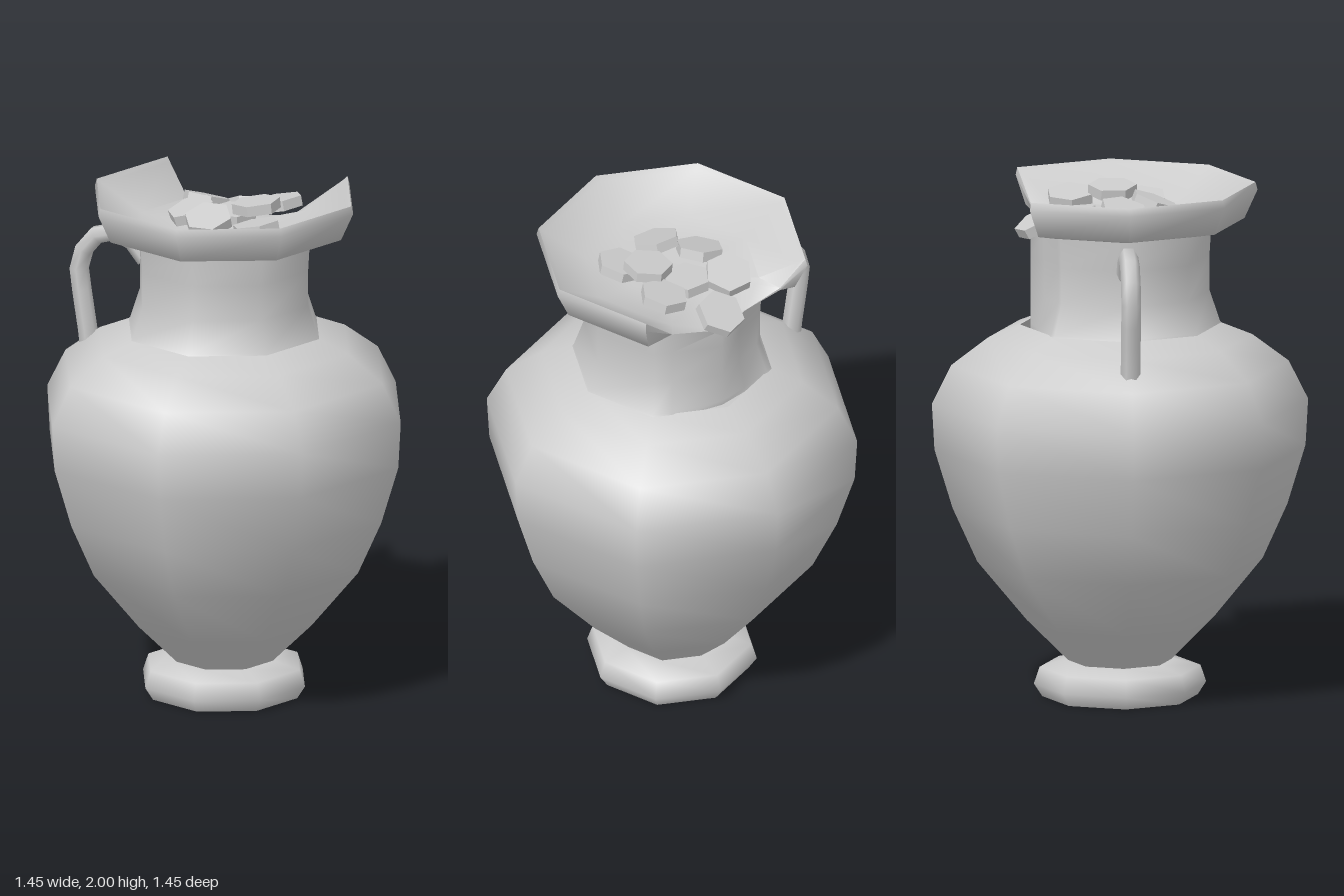
import * as THREE from 'three';
import { toCreasedNormals } from 'three/addons/utils/BufferGeometryUtils.js';

const SIDES = 8;
const material = new THREE.MeshStandardMaterial({ color: 0xcccccc, side: THREE.DoubleSide });
const chipMaterial = new THREE.MeshStandardMaterial({ color: 0xcccccc, flatShading: true });

function add(group, name, geometry, mat = material) {
  const mesh = new THREE.Mesh(geometry, mat);
  mesh.name = name;
  group.add(mesh);
  return mesh;
}

function lathe(profile) {
  return new THREE.LatheGeometry(profile.map(([r, y]) => new THREE.Vector2(r, y)), SIDES);
}

// Neck, lip and inner floor as one skin; broken columns clamp the profile down
function neckGeometry() {
  const profile = [
    [0.4, 1.44], [0.385, 1.46], [0.345, 1.58], [0.345, 1.72], [0.352, 1.835],
    [0.385, 1.84], [0.48, 1.86], [0.53, 1.97], [0.522, 2.0], [0.5, 1.985],
    [0.34, 1.885], [0.18, 1.865], [0, 1.865],
  ];
  // angle in degrees (180 is the back), then highest y and widest radius where broken
  const columns = [
    [0], [45], [90], [135], [146, 1.85, 0.38], [180, 1.8, 0.345],
    [200, 1.83, 0.345], [221, 1.87, 0.43], [225], [270], [315], [360],
  ];
  const positions = [];
  const index = [];
  const n = profile.length;
  columns.forEach(([deg, maxY = 9, maxR = 9], i) => {
    const phi = THREE.MathUtils.degToRad(deg);
    // keep in-between columns on the straight octagon edge
    const off = THREE.MathUtils.degToRad((deg % 45) - 22.5);
    const edge = Math.cos(Math.PI / SIDES) / Math.cos(off);
    profile.forEach(([r, y], j) => {
      const rr = Math.min(r * edge, maxR);
      const yy = r > 0.25 ? Math.min(y, maxY) : y;
      positions.push(rr * Math.sin(phi), yy, rr * Math.cos(phi));
      if (i < columns.length - 1 && j < n - 1) {
        const a = i * n + j;
        const b = a + n;
        index.push(a, b, b + 1, a, b + 1, a + 1);
      }
    });
  });
  const g = new THREE.BufferGeometry();
  g.setAttribute('position', new THREE.Float32BufferAttribute(positions, 3));
  g.setIndex(index);
  return toCreasedNormals(g, 1.0);
}

export function createModel() {
  const model = new THREE.Group();
  model.name = 'brokenVase';

  // Foot
  add(model, 'foot', lathe([[0.3, 0], [0.332, 0.05], [0.31, 0.115], [0.21, 0.14], [0.15, 0.14]]));
  const underside = add(model, 'footUnderside', new THREE.CircleGeometry(0.3, SIDES));
  underside.rotation.x = Math.PI / 2;

  // Body
  add(model, 'body', lathe([
    [0.19, 0.13], [0.36, 0.3], [0.55, 0.53], [0.645, 0.74], [0.715, 0.97],
    [0.725, 1.15], [0.65, 1.3], [0.51, 1.405], [0.385, 1.455],
  ]));

  // Neck with the broken lip
  add(model, 'neckAndLip', neckGeometry());

  // Single surviving handle
  const path = new THREE.CatmullRomCurve3([
    [-0.32, 1.7], [-0.385, 1.775], [-0.47, 1.797], [-0.545, 1.755],
    [-0.592, 1.655], [-0.58, 1.53], [-0.56, 1.4], [-0.55, 1.31],
  ].map(([x, y]) => new THREE.Vector3(x, y, 0)));
  add(model, 'handle', new THREE.TubeGeometry(path, 9, 0.038, 6));

  // Loose hexagonal pieces: x, y, z, tilt about x, tilt about z, turn
  const chip = new THREE.CylinderGeometry(0.094, 0.094, 0.04, 6);
  const chips = [
    [-0.01, 1.855, -0.315, -0.5, 0.1, 0.35],
    [-0.14, 1.905, -0.18, -0.3, -0.1, 0],
    [0.16, 1.925, -0.18, -0.05, 0.2, 0],
    [0, 1.885, -0.1, 0.05, 0, 0],
    [-0.13, 1.915, 0.005, 0.2, 0.25, 0.1],
    [0.125, 1.955, -0.02, 0, 0.12, 0.5],
    [-0.015, 1.925, 0.13, 0.35, 0, 0],
    [0.17, 1.905, 0.1, -0.05, 0.2, 0],
  ];
  const pieces = new THREE.Group();
  pieces.name = 'hexagonalPieces';
  model.add(pieces);
  for (const [x, y, z, rx, rz, turn] of chips) {
    const piece = add(pieces, 'hexagonalPiece', chip, chipMaterial);
    piece.position.set(x, y, z);
    piece.rotation.set(rx, Math.PI / 2 + turn, rz, 'XZY');
  }
  return model;
}
